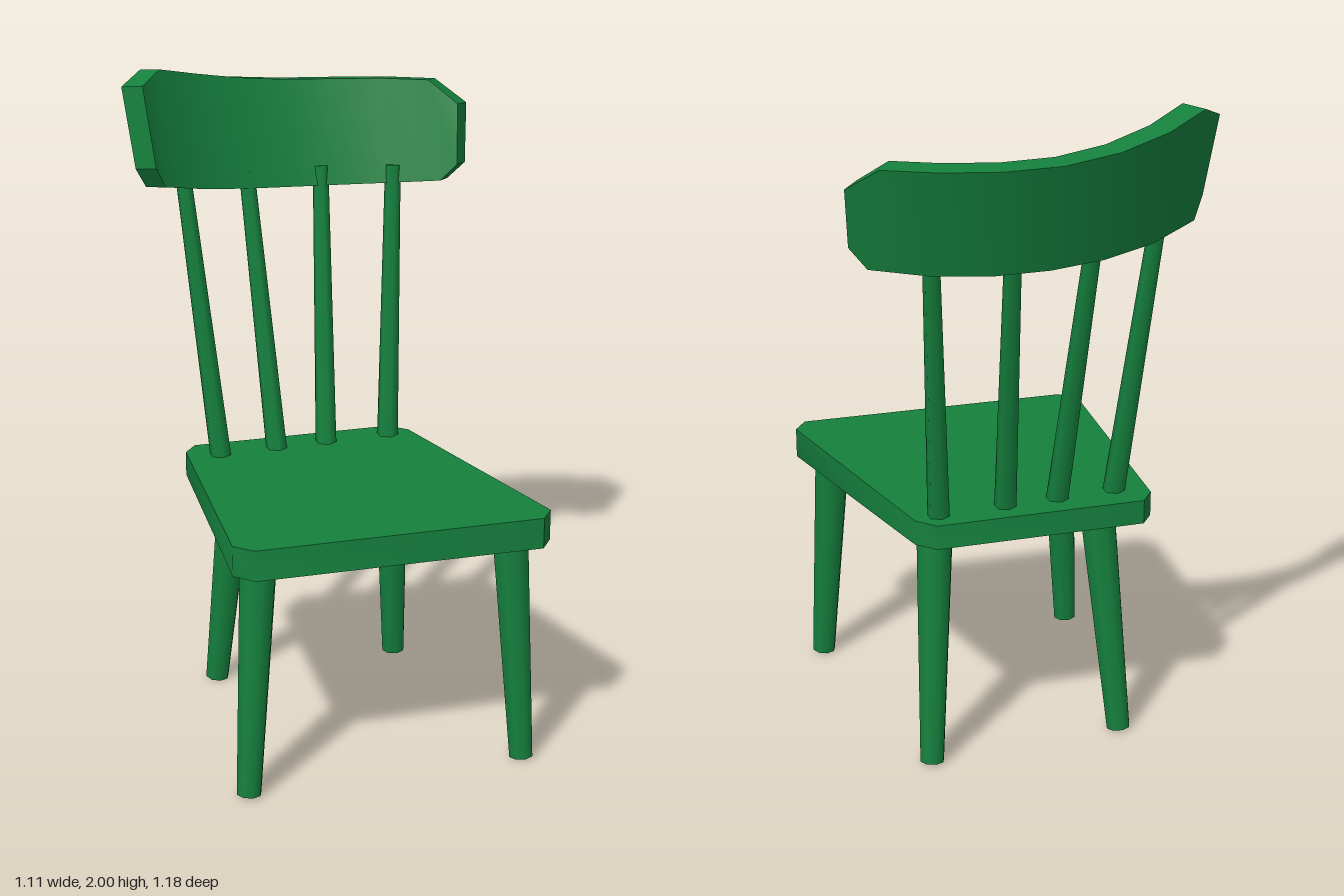
import * as THREE from 'three';
import { toCreasedNormals } from 'three/addons/utils/BufferGeometryUtils.js';

const green = new THREE.MeshStandardMaterial({ color: 0x15803d });

function add(group, name, geometry) {
  const mesh = new THREE.Mesh(geometry, green);
  mesh.name = name;
  group.add(mesh);
  return mesh;
}

// Tapered rod between two points
function rod(group, name, from, to, r0, r1, sides) {
  const a = new THREE.Vector3(...from), b = new THREE.Vector3(...to);
  const dir = b.clone().sub(a);
  const mesh = add(group, name, new THREE.CylinderGeometry(r1, r0, dir.length(), sides));
  mesh.position.copy(a).add(b).multiplyScalar(0.5);
  mesh.quaternion.setFromUnitVectors(new THREE.Vector3(0, 1, 0), dir.normalize());
}

// Slightly skewed board with clipped corners, a little thinner at the back
function seatGeometry() {
  const outline = [[-0.495, 0.48], [-0.445, 0.535], [0.425, 0.585], [0.47, 0.53],
    [0.335, -0.28], [0.285, -0.338], [-0.36, -0.373], [-0.405, -0.32]];
  const shape = new THREE.Shape(outline.map(([x, z]) => new THREE.Vector2(x, -z)));
  const g = new THREE.ExtrudeGeometry(shape, { depth: 1, bevelEnabled: false });
  g.rotateX(-Math.PI / 2);
  const p = g.attributes.position;
  for (let i = 0; i < p.count; i++) {
    const t = (0.58 - p.getZ(i)) / 0.95;
    p.setY(i, p.getY(i) > 0.5 ? 0.8 - 0.01 * t : 0.705 + 0.01 * t);
  }
  return toCreasedNormals(g, 0.9);
}

// Curved, leaning top rail: front edges swept outwards by the rail thickness
function railGeometry() {
  const top = [[-0.51, 1.965, -0.325], [-0.44, 2.0, -0.385], [-0.305, 1.965, -0.46],
    [-0.155, 1.935, -0.505], [0, 1.917, -0.52], [0.15, 1.912, -0.505],
    [0.3, 1.912, -0.46], [0.43, 1.912, -0.385], [0.5, 1.845, -0.31]];
  const bottom = [[-0.485, 1.72, -0.285], [-0.45, 1.655, -0.31], [-0.3, 1.622, -0.375],
    [-0.15, 1.604, -0.41], [0, 1.595, -0.422], [0.15, 1.592, -0.41],
    [0.3, 1.596, -0.367], [0.44, 1.608, -0.295], [0.48, 1.665, -0.26]];
  const back = ([x, y, z], dy) => {
    const a = x * 1.55, d = 0.073;
    return [x + d * Math.sin(a), y + dy, z - d * Math.cos(a)];
  };
  const positions = [], index = [], n = top.length;
  for (let i = 0; i < n; i++) {
    positions.push(...top[i], ...bottom[i], ...back(bottom[i], -0.008), ...back(top[i], -0.008));
  }
  for (let i = 0; i < n - 1; i++) {
    for (let k = 0; k < 4; k++) {
      const a = i * 4 + k, b = i * 4 + (k + 1) % 4;
      index.push(a, b, b + 4, a, b + 4, a + 4);
    }
  }
  const e = (n - 1) * 4;
  index.push(0, 3, 2, 0, 2, 1, e, e + 1, e + 2, e, e + 2, e + 3);
  const g = new THREE.BufferGeometry();
  g.setAttribute('position', new THREE.Float32BufferAttribute(positions, 3));
  g.setIndex(index);
  return toCreasedNormals(g.toNonIndexed(), 0.55);
}

export function createModel() {
  const chair = new THREE.Group();
  chair.name = 'chair';

  add(chair, 'seat', seatGeometry());
  add(chair, 'topRail', railGeometry());

  // Splayed legs: foot x, z and top x, z
  const legs = {
    frontRightLeg: [-0.455, 0.475, -0.4, 0.42],
    frontLeftLeg: [0.4, 0.523, 0.365, 0.478],
    backRightLeg: [-0.318, -0.312, -0.265, -0.238],
    backLeftLeg: [0.3, -0.312, 0.26, -0.238],
  };
  for (const [name, [x0, z0, x1, z1]] of Object.entries(legs)) {
    rod(chair, name, [x0, 0, z0], [x1, 0.72, z1], 0.038, 0.057, 8);
  }

  // Fanned spindles: foot x, top x, top z
  const spindles = [[-0.305, -0.373, -0.382], [-0.12, -0.152, -0.445],
    [0.045, 0.092, -0.445], [0.255, 0.312, -0.382]];
  for (const [x0, x1, z1] of spindles) {
    rod(chair, 'spindle', [x0, 0.77, -0.262], [x1, 1.65, z1], 0.034, 0.025, 6);
  }
  return chair;
}
